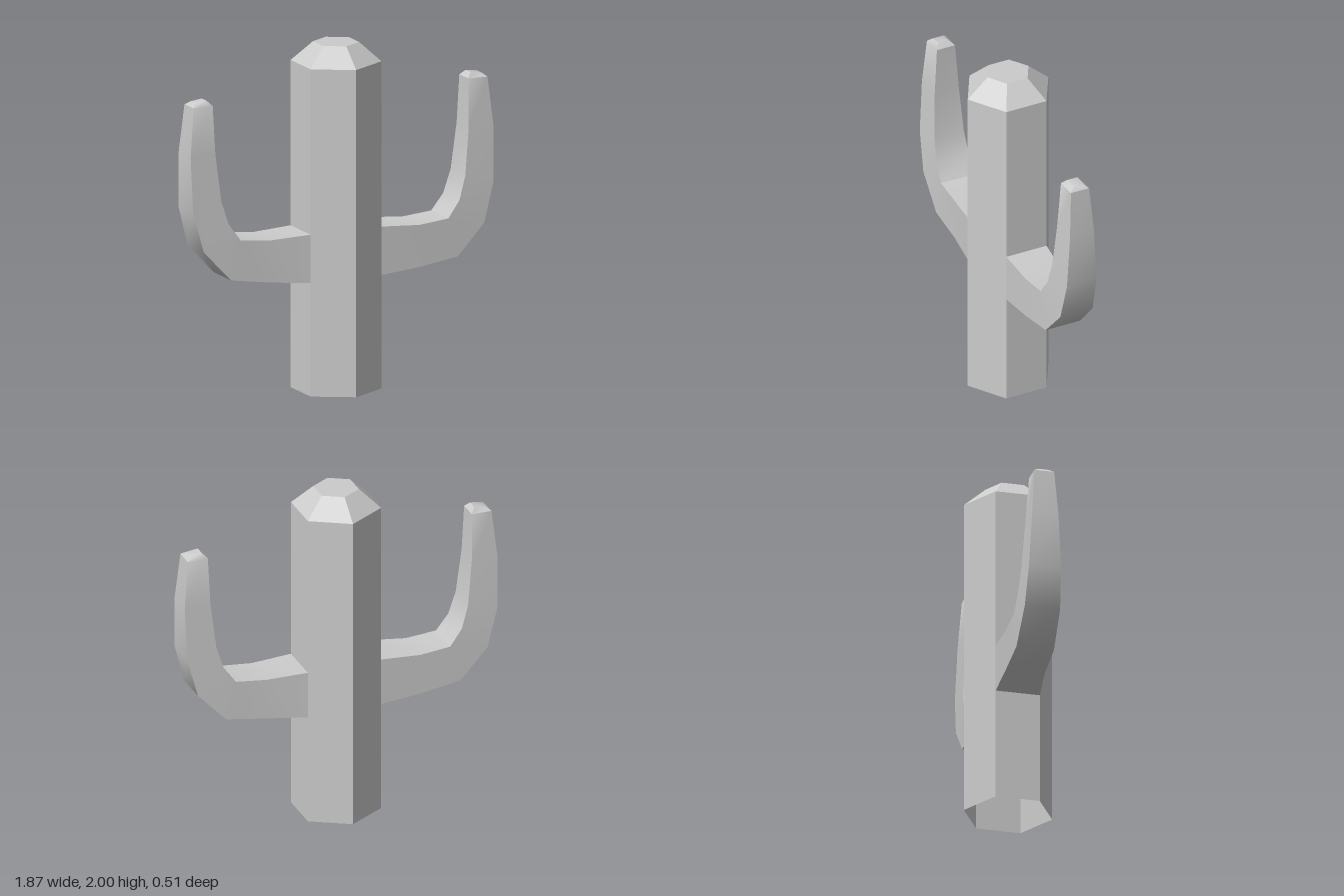
import * as THREE from 'three';
import { toCreasedNormals } from 'three/addons/utils/BufferGeometryUtils.js';

// Arm sections: outer x, y, inner x, y, front z, back z
const ARM_SECTIONS = [
  [0.222, 0.655, 0.222, 0.935, 0.128, -0.128],
  [0.46, 0.677, 0.46, 0.92, 0.13, -0.095],
  [0.70, 0.713, 0.64, 0.938, 0.13, -0.087],
  [0.868, 0.89, 0.712, 1.035, 0.125, -0.08],
  [0.93, 1.12, 0.753, 1.17, 0.116, -0.07],
  [0.937, 1.44, 0.782, 1.44, 0.1, -0.053],
  [0.91, 1.718, 0.79, 1.72, 0.08, -0.035],
  [0.887, 1.738, 0.817, 1.747, 0.052, -0.01],
];

// Four-sided tube through the sections, closed at the tip
function armGeometry() {
  const pos = [], index = [];
  for (const [ox, oy, ix, iy, f, b] of ARM_SECTIONS) {
    pos.push(ox, oy, f, ox, oy, b, ix, iy, b, ix, iy, f);
  }
  const last = (ARM_SECTIONS.length - 1) * 4;
  for (let i = 0; i < last; i += 4) {
    for (let j = 0; j < 4; j++) {
      const k = (j + 1) % 4;
      index.push(i + j, i + k, i + 4 + k, i + j, i + 4 + k, i + 4 + j);
    }
  }
  index.push(last, last + 1, last + 2, last, last + 2, last + 3);
  const geo = new THREE.BufferGeometry();
  geo.setAttribute('position', new THREE.Float32BufferAttribute(pos, 3));
  geo.setIndex(index);
  return toCreasedNormals(geo, 0.75);
}

export function createModel() {
  const group = new THREE.Group();
  group.name = 'cactus';

  // Hexagonal trunk with a bevelled top and an open bottom
  const profile = [[0.256, 0], [0.256, 1.89], [0.13, 2], [0, 2]]
    .map(([r, y]) => new THREE.Vector2(r, y));
  const trunk = new THREE.Mesh(
    new THREE.LatheGeometry(profile, 6),
    new THREE.MeshStandardMaterial({ color: 0xcccccc, flatShading: true, side: THREE.DoubleSide })
  );
  trunk.name = 'trunk';
  group.add(trunk);

  // Two upturned arms, the second turned half way round the trunk
  const geo = armGeometry();
  const mat = new THREE.MeshStandardMaterial({ color: 0xcccccc, side: THREE.DoubleSide });
  for (const [name, turn] of [['leftArm', 0], ['rightArm', Math.PI]]) {
    const arm = new THREE.Mesh(geo, mat);
    arm.name = name;
    arm.rotation.y = turn;
    group.add(arm);
  }
  return group;
}
